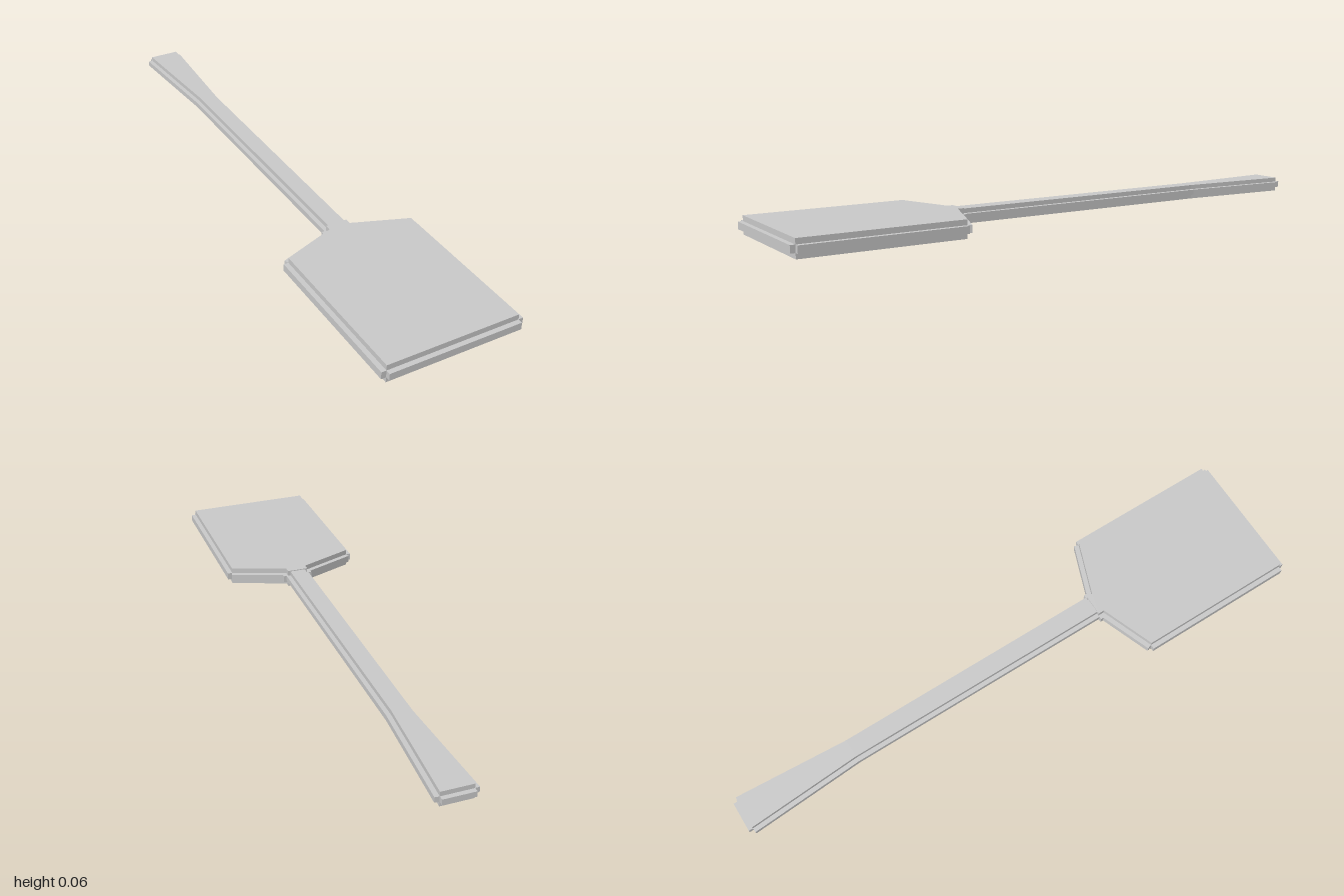
import * as THREE from 'three';

const material = new THREE.MeshStandardMaterial({ color: 0xcccccc, flatShading: true });

// Flat slab from the +x half of an outline [x, z], with a thin raised strip along each edge
function rimmedSlab(name, half, [y0, y1], [rim0, rim1], rimWidth, openEdge) {
  const group = new THREE.Group();
  group.name = name;
  const mirrored = half.map(([x, z]) => [-x, z]).reverse();
  const outline = [...half, ...mirrored];

  const shape = new THREE.Shape(outline.map(([x, z]) => new THREE.Vector2(x, -z)));
  const geometry = new THREE.ExtrudeGeometry(shape, { depth: y1 - y0, bevelEnabled: false });
  geometry.rotateX(-Math.PI / 2).translate(0, y0, 0);
  const core = new THREE.Mesh(geometry, material);
  core.name = name + 'Core';
  group.add(core);

  // Each strip is centred on its edge, so only its outer half shows
  outline.forEach(([ax, az], i) => {
    if (i === openEdge) return;
    const [bx, bz] = outline[(i + 1) % outline.length];
    const length = Math.hypot(bx - ax, bz - az);
    const strip = new THREE.Mesh(new THREE.BoxGeometry(length, rim1 - rim0, rimWidth * 2), material);
    strip.name = name + 'EdgeStrip';
    strip.position.set((ax + bx) / 2, (rim0 + rim1) / 2, (az + bz) / 2);
    strip.rotation.y = -Math.atan2(bz - az, bx - ax);
    group.add(strip);
  });
  return group;
}

export function createModel() {
  const model = new THREE.Group();
  model.name = 'paddle';

  // Wide blade with sloping shoulders and a short neck
  const blade = [[0.22, 0.984], [0.22, 0.445], [0.036, 0.376], [0.036, 0.355]];
  model.add(rimmedSlab('blade', blade, [0, 0.06], [0.018, 0.042], 0.016, 3));

  // Slender handle flaring towards its end
  const handle = [[0.027, 0.37], [0.027, -0.59], [0.052, -0.985]];
  model.add(rimmedSlab('handle', handle, [0.008, 0.057], [0.024, 0.042], 0.015, 5));

  return model;
}
